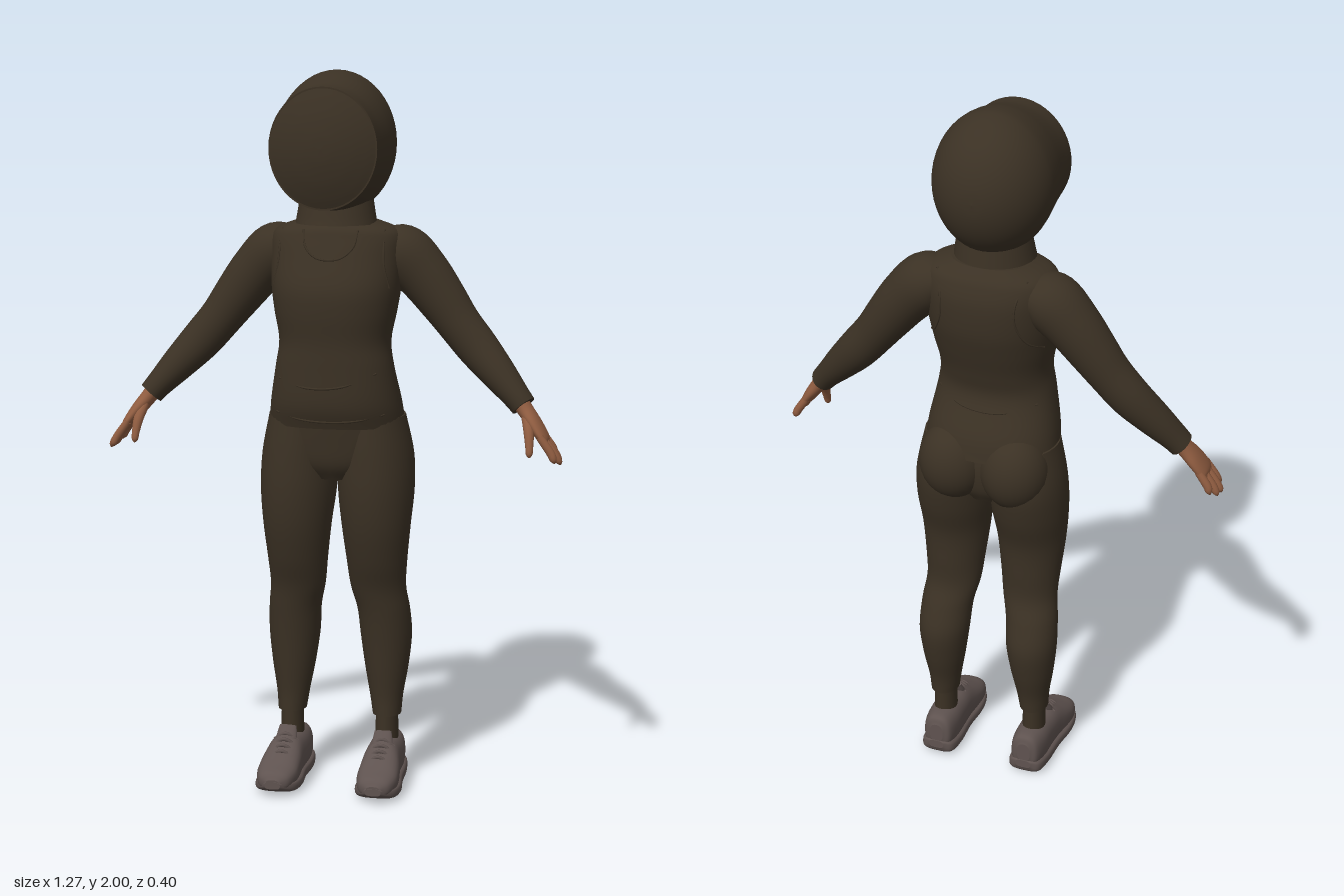
import * as THREE from 'three';

const mat = (name, color) => Object.assign(new THREE.MeshStandardMaterial({ color }), { name });

// Rows are [x, y, z, radius across, radius along side]; refine smooths between them.
function refine(rows, steps = 5) {
  const centre = new THREE.CatmullRomCurve3(rows.map(r => new THREE.Vector3(r[0], r[1], r[2])), false, 'catmullrom', 0.5);
  const radii = new THREE.CatmullRomCurve3(rows.map(r => new THREE.Vector3(r[3], r[4], 0)), false, 'catmullrom', 0.5);
  const n = (rows.length - 1) * steps, out = [];
  for (let i = 0; i <= n; i++) {
    const p = centre.getPoint(i / n), q = radii.getPoint(i / n);
    out.push([p.x, p.y, p.z, Math.max(q.x, 0.001), Math.max(q.y, 0.001)]);
  }
  return out;
}

// Skins elliptical sections. A fixed axis keeps every section parallel; power < 1 squares them off.
function loft(rows, { axis = null, side = [0, 0, 1], power = 1, seg = 28, steps = 5 } = {}) {
  const rs = refine(rows, steps), pos = [], idx = [];
  const at = i => new THREE.Vector3(...rs[Math.min(Math.max(i, 0), rs.length - 1)].slice(0, 3));
  const bend = v => Math.sign(v) * Math.pow(Math.abs(v), power);
  rs.forEach((r, i) => {
    const T = axis ? new THREE.Vector3(...axis) : at(i + 1).sub(at(i - 1)).normalize();
    const S = new THREE.Vector3(...side);
    S.addScaledVector(T, -S.dot(T)).normalize();
    const N = S.clone().cross(T);
    for (let j = 0; j < seg; j++) {
      const a = (j / seg) * Math.PI * 2;
      pos.push(...at(i).addScaledVector(N, r[3] * bend(Math.cos(a))).addScaledVector(S, r[4] * bend(Math.sin(a))).toArray());
    }
  });
  for (let i = 0; i < rs.length - 1; i++) for (let j = 0; j < seg; j++) {
    const k = (j + 1) % seg, a = i * seg + j, b = i * seg + k;
    idx.push(a, b, a + seg, b, b + seg, a + seg);
  }
  // flat end caps with their own vertices
  for (const end of [0, rs.length - 1]) {
    const base = pos.length / 3;
    pos.push(...pos.slice(end * seg * 3, (end + 1) * seg * 3), ...at(end).toArray());
    for (let j = 0; j < seg; j++) {
      const a = base + j, b = base + (j + 1) % seg;
      idx.push(...(end ? [a, b, base + seg] : [b, a, base + seg]));
    }
  }
  const g = new THREE.BufferGeometry();
  g.setAttribute('position', new THREE.Float32BufferAttribute(pos, 3));
  g.setIndex(idx);
  g.computeVertexNormals();
  return g;
}

export function createModel() {
  const model = new THREE.Group();
  const cloth = mat('dark brown cloth', 0x3b3124);
  const skin = mat('skin', 0x8f5c40);
  const shoe = mat('grey brown shoe', 0x5f5350);
  const add = (name, geo, m) => {
    const mesh = new THREE.Mesh(geo, m);
    mesh.name = name;
    model.add(mesh);
    return mesh;
  };
  const UP = { axis: [0, 1, 0] }, FWD = { axis: [0, 0, 1], side: [0, 1, 0] };
  const tube = (pts, r) => new THREE.TubeGeometry(new THREE.CatmullRomCurve3(pts.map(p => new THREE.Vector3(...p))), 24, r, 6);

  // Hood: round back, gently narrowing towards a domed face cover
  const hood = [];
  for (let i = 0; i <= 8; i++) {
    const a = (i / 8) * Math.PI / 2;
    hood.push([0, 1.805, -0.02 - 0.17 * Math.cos(a), 0.163 * Math.sin(a), 0.195 * Math.sin(a)]);
  }
  hood.push([0, 1.805, 0.03, 0.16, 0.187], [0, 1.803, 0.08, 0.154, 0.174], [0, 1.8, 0.12, 0.15, 0.167], [0, 1.8, 0.165, 0.147, 0.163]);
  add('hood', loft(hood, { ...FWD, seg: 48 }), cloth);
  const cover = [1, 0.95, 0.8, 0.55, 0.25, 0.01].map(f => [0, 1.8, 0.163 + 0.036 * (1 - f * f), 0.147 * f, 0.163 * f]);
  add('faceCover', loft(cover, { ...FWD, seg: 48 }), cloth);

  // Collar and vest
  add('collar', loft([[0, 1.588, -0.015, 0.112, 0.105], [0, 1.61, -0.017, 0.108, 0.1], [0, 1.66, -0.02, 0.1, 0.09]], UP), cloth);
  const torso = [
    [0, 1.035, -0.035, 0.188, 0.135], [0, 1.1, -0.018, 0.181, 0.138], [0, 1.2, 0.003, 0.163, 0.118],
    [0, 1.27, -0.002, 0.154, 0.123], [0, 1.35, -0.01, 0.168, 0.14], [0, 1.42, -0.02, 0.178, 0.148],
    [0, 1.5, -0.036, 0.183, 0.136], [0, 1.55, -0.04, 0.182, 0.12], [0, 1.575, -0.038, 0.162, 0.107],
    [0, 1.595, -0.035, 0.11, 0.085],
  ];
  const power = 0.88;
  add('vest', loft(torso, { ...UP, power, seg: 48 }), cloth);

  // Seams laid on the vest surface (sgn 1 = front, -1 = back)
  const fine = refine(torso, 20);
  const onVest = (x, y, sgn) => {
    const r = fine.reduce((a, b) => (Math.abs(b[1] - y) < Math.abs(a[1] - y) ? b : a));
    const f = Math.min(Math.abs(x) / r[3], 1);
    return [x, y, r[2] + sgn * r[4] * Math.pow(1 - Math.pow(f, 2 / power), power / 2)];
  };
  const seam = (name, pts, sgn) => add(name, tube(pts.map(([x, y]) => onVest(x, y, sgn)), 0.003), cloth);
  seam('neckline', [[-0.075, 1.575], [-0.065, 1.53], [-0.035, 1.503], [0, 1.497], [0.035, 1.503], [0.065, 1.53], [0.075, 1.575]], 1);
  seam('hemFold', [[-0.15, 1.075], [-0.08, 1.06], [0, 1.055], [0.08, 1.06], [0.15, 1.075]], 1);
  seam('waistFold', [[-0.14, 1.17], [-0.06, 1.15], [0.04, 1.155], [0.13, 1.19]], 1);
  seam('backFold', [[-0.14, 1.19], [-0.05, 1.17], [0.06, 1.175], [0.14, 1.2]], -1);

  // Hips
  add('hips', loft([[0, 0.885, -0.035, 0.09, 0.085], [0, 0.93, -0.035, 0.17, 0.11], [0, 1.0, -0.035, 0.198, 0.12],
    [0, 1.08, -0.025, 0.18, 0.118], [0, 1.14, -0.01, 0.16, 0.11]], UP), cloth);

  for (const s of [1, -1]) {
    const label = s > 0 ? 'left' : 'right';
    const flip = rows => rows.map(([x, ...rest]) => [x * s, ...rest]);
    const part = (name, rows, m, opt) => add(label + name, loft(flip(rows), opt), m);

    seam(label + 'FrontArmhole', flip([[0.14, 1.575], [0.143, 1.53], [0.146, 1.48], [0.16, 1.42]]), 1);
    seam(label + 'BackArmhole', flip([[0.125, 1.575], [0.105, 1.52], [0.105, 1.46], [0.13, 1.4], [0.16, 1.37]]), -1);

    // Seat
    const seat = add(label + 'Seat', new THREE.SphereGeometry(1, 28, 20), cloth);
    seat.scale.set(0.097, 0.115, 0.095);
    seat.position.set(0.088 * s, 0.995, -0.102);

    // Trouser leg and sock
    part('Leg', [
      [0.137, 0.195, -0.064, 0.04, 0.051], [0.135, 0.25, -0.068, 0.047, 0.054], [0.134, 0.33, -0.075, 0.061, 0.068],
      [0.132, 0.42, -0.077, 0.072, 0.078], [0.127, 0.5, -0.062, 0.074, 0.073], [0.115, 0.57, -0.043, 0.078, 0.068],
      [0.113, 0.65, -0.03, 0.085, 0.083], [0.112, 0.75, -0.022, 0.096, 0.1], [0.11, 0.85, -0.033, 0.106, 0.121],
      [0.107, 0.95, -0.042, 0.105, 0.127], [0.1, 1.06, -0.035, 0.09, 0.11],
    ], cloth, UP);
    part('Sock', [[0.137, 0.08, -0.062, 0.033, 0.043], [0.137, 0.21, -0.064, 0.031, 0.041]], cloth, UP);

    // Shoe: upper, sole, tongue, laces
    part('ShoeUpper', [
      [0.135, 0.075, -0.15, 0.02, 0.03], [0.135, 0.072, -0.138, 0.04, 0.056], [0.136, 0.07, -0.09, 0.049, 0.062],
      [0.137, 0.07, -0.03, 0.05, 0.062], [0.139, 0.069, 0.02, 0.052, 0.062], [0.141, 0.058, 0.07, 0.057, 0.05],
      [0.142, 0.048, 0.12, 0.057, 0.037], [0.142, 0.043, 0.16, 0.044, 0.027], [0.142, 0.04, 0.177, 0.02, 0.012],
    ], shoe, { ...FWD, power: 0.8 });
    part('ShoeSole', [
      [0.135, 0.038, -0.153, 0.022, 0.012], [0.135, 0.028, -0.138, 0.047, 0.022], [0.136, 0.022, -0.08, 0.055, 0.022],
      [0.139, 0.022, 0.0, 0.056, 0.021], [0.141, 0.022, 0.08, 0.064, 0.02], [0.142, 0.026, 0.14, 0.056, 0.018],
      [0.142, 0.036, 0.179, 0.022, 0.01],
    ], shoe, { ...FWD, power: 0.6 });
    part('ShoeTongue', [[0.139, 0.09, 0.04, 0.028, 0.014], [0.138, 0.125, 0.014, 0.03, 0.014], [0.137, 0.157, -0.004, 0.024, 0.008]], shoe);
    for (let i = 0; i < 4; i++) {
      const y = 0.136 - i * 0.011, z = 0.014 + i * 0.02;
      add(label + 'Lace', tube([[0.105 * s, y - 0.016, z], [0.139 * s, y + 0.003, z + 0.006], [0.173 * s, y - 0.016, z]], 0.005), shoe);
    }

    // Sleeve
    part('Sleeve', [
      [0.12, 1.525, -0.06, 0.055, 0.07], [0.175, 1.503, -0.062, 0.08, 0.083], [0.235, 1.445, -0.062, 0.075, 0.075],
      [0.29, 1.375, -0.058, 0.067, 0.066], [0.335, 1.315, -0.052, 0.06, 0.059], [0.39, 1.25, -0.042, 0.057, 0.055],
      [0.45, 1.185, -0.02, 0.048, 0.05], [0.5, 1.13, 0, 0.038, 0.043], [0.523, 1.103, 0.008, 0.035, 0.04],
    ], cloth);

    // Hand: palm, four fingers, thumb
    part('Palm', [
      [0.505, 1.125, 0.005, 0.024, 0.03], [0.53, 1.092, 0.014, 0.022, 0.03], [0.555, 1.06, 0.025, 0.02, 0.04],
      [0.58, 1.025, 0.035, 0.016, 0.043], [0.59, 1.01, 0.037, 0.01, 0.038],
    ], skin);
    const fingers = [[0.002, -0.002, 0.612, 0.968], [0.025, 0.022, 0.626, 0.954], [0.048, 0.047, 0.63, 0.952], [0.068, 0.074, 0.618, 0.96]];
    for (const [z0, z1, x, y] of fingers) part('Finger', [
      [0.575, 1.03, z0, 0.011, 0.0115], [(0.59 + x) / 2, (1.02 + y) / 2, (z0 + z1) / 2, 0.0115, 0.0115],
      [x - 0.004, y + 0.01, z1, 0.0095, 0.0095], [x, y, z1, 0.002, 0.002],
    ], skin, { seg: 12 });
    part('Thumb', [
      [0.535, 1.075, 0.035, 0.014, 0.015], [0.545, 1.04, 0.063, 0.014, 0.014], [0.549, 1.005, 0.08, 0.011, 0.011],
      [0.55, 0.985, 0.087, 0.009, 0.009], [0.551, 0.976, 0.09, 0.002, 0.002],
    ], skin, { seg: 12 });
  }
  return model;
}
